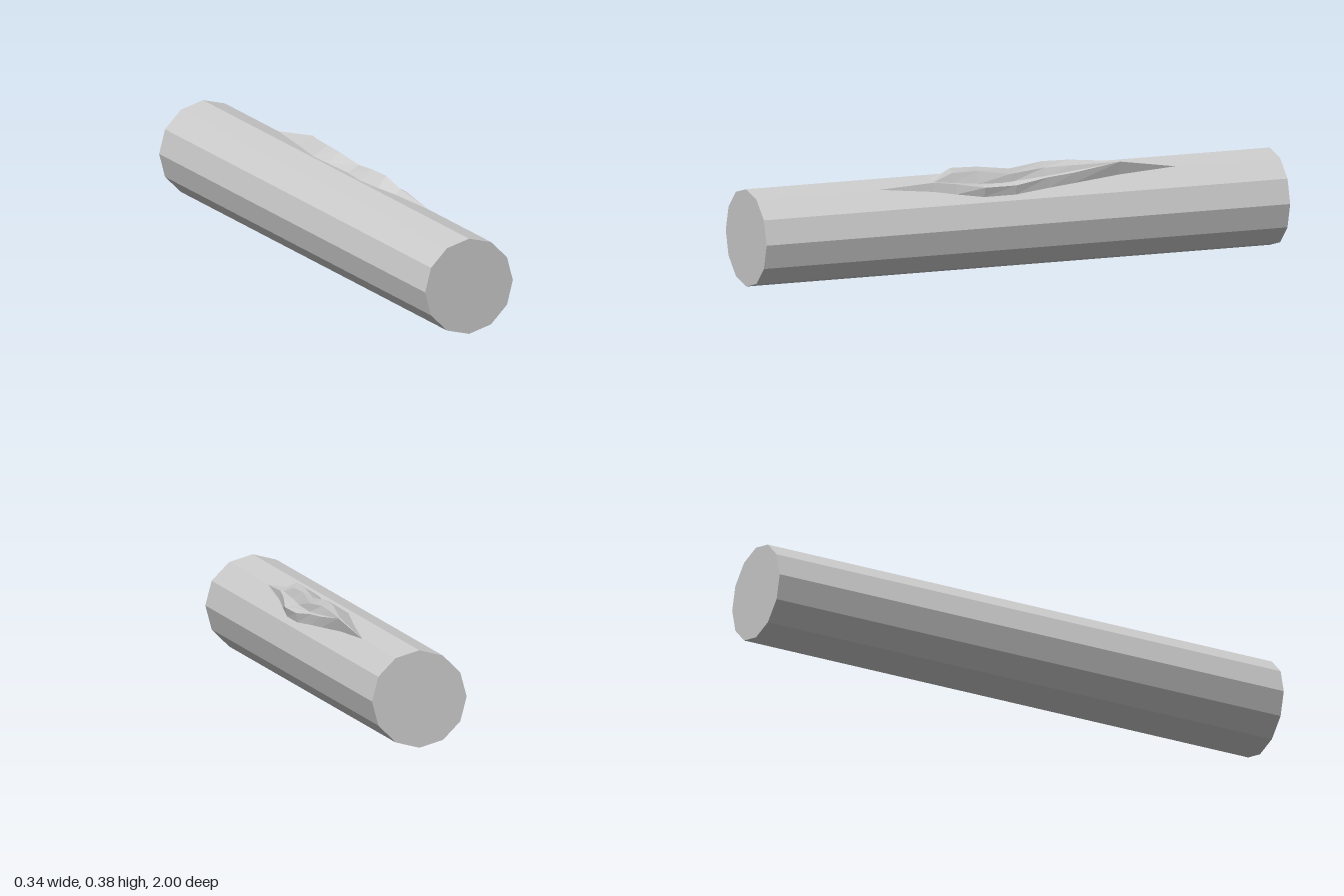
import * as THREE from 'three';

const R = 0.172, SIDES = 12;
const ring = Array.from({ length: SIDES }, (_, i) => {
  const a = (i / SIDES) * Math.PI * 2;
  return [R * Math.sin(a), R + R * Math.cos(a)];
});

// Point at a given x on the straight bark facet between two corners
function onFacet(p, q, x) {
  const t = (x - p[0]) / (q[0] - p[0]);
  return [x, p[1] + t * (q[1] - p[1])];
}

// Split in the bark, front to back: z, upper foot x, upper crest, upper inner edge,
// hollow floor, lower inner edge, lower crest, lower foot x
const split = [
  [0.33, 0.06, [0.08, 0.345], [0.088, 0.336], [0.091, 0.332], [0.095, 0.335], [0.102, 0.334], 0.105],
  [0.25, 0.035, [0.066, 0.375], [0.078, 0.358], [0.088, 0.325], [0.1, 0.325], [0.115, 0.325], 0.118],
  [0.15, 0.015, [0.066, 0.372], [0.075, 0.358], [0.09, 0.315], [0.115, 0.313], [0.14, 0.309], 0.132],
  [0.03, 0.03, [0.075, 0.358], [0.085, 0.34], [0.088, 0.31], [0.11, 0.318], [0.137, 0.308], 0.132],
  [-0.1, 0.02, [0.066, 0.373], [0.08, 0.352], [0.092, 0.316], [0.108, 0.328], [0.122, 0.325], 0.12],
  [-0.2, 0.015, [0.072, 0.372], [0.087, 0.354], [0.095, 0.327], [0.105, 0.337], [0.116, 0.333], 0.112],
  [-0.38, 0.05, [0.1, 0.358], [0.102, 0.356], [0.104, 0.352], [0.105, 0.356], [0.107, 0.357], 0.097],
];

// Closed cross-section: the plain polygon, with the split replacing one corner
function section(z, middle) {
  return [ring[0], ...middle, ...ring.slice(2)].map(([x, y]) => new THREE.Vector3(x, y, z));
}
const plain = (z) => section(z, Array(7).fill(ring[1]));

function createLog() {
  const sections = [
    plain(1), plain(0.53),
    ...split.map(([z, upper, ...rest]) => section(z, [
      onFacet(ring[0], ring[1], upper),
      ...rest.slice(0, 5),
      onFacet(ring[1], ring[2], rest[5]),
    ])),
    plain(-0.6), plain(-1),
  ];
  const pos = [];
  const tri = (a, b, c) => {
    if (a.equals(b) || b.equals(c) || a.equals(c)) return;
    for (const p of [a, b, c]) pos.push(p.x, p.y, p.z);
  };
  const n = sections[0].length;
  // Bark skin between neighbouring sections
  for (let s = 0; s < sections.length - 1; s++) {
    const f = sections[s], b = sections[s + 1];
    for (let i = 0; i < n; i++) {
      const j = (i + 1) % n;
      tri(f[i], f[j], b[i]);
      tri(f[j], b[j], b[i]);
    }
  }
  // Flat sawn ends
  const front = sections[0], back = sections[sections.length - 1];
  const cf = new THREE.Vector3(0, R, 1), cb = new THREE.Vector3(0, R, -1);
  for (let i = 0; i < n; i++) {
    const j = (i + 1) % n;
    tri(cf, front[j], front[i]);
    tri(cb, back[i], back[j]);
  }
  const geo = new THREE.BufferGeometry();
  geo.setAttribute('position', new THREE.Float32BufferAttribute(pos, 3));
  geo.computeVertexNormals();
  return geo;
}

export function createModel() {
  const group = new THREE.Group();
  group.name = 'splitLog';
  const log = new THREE.Mesh(
    createLog(),
    new THREE.MeshStandardMaterial({ color: 0xcccccc, flatShading: true }),
  );
  log.name = 'log';
  group.add(log);
  return group;
}
